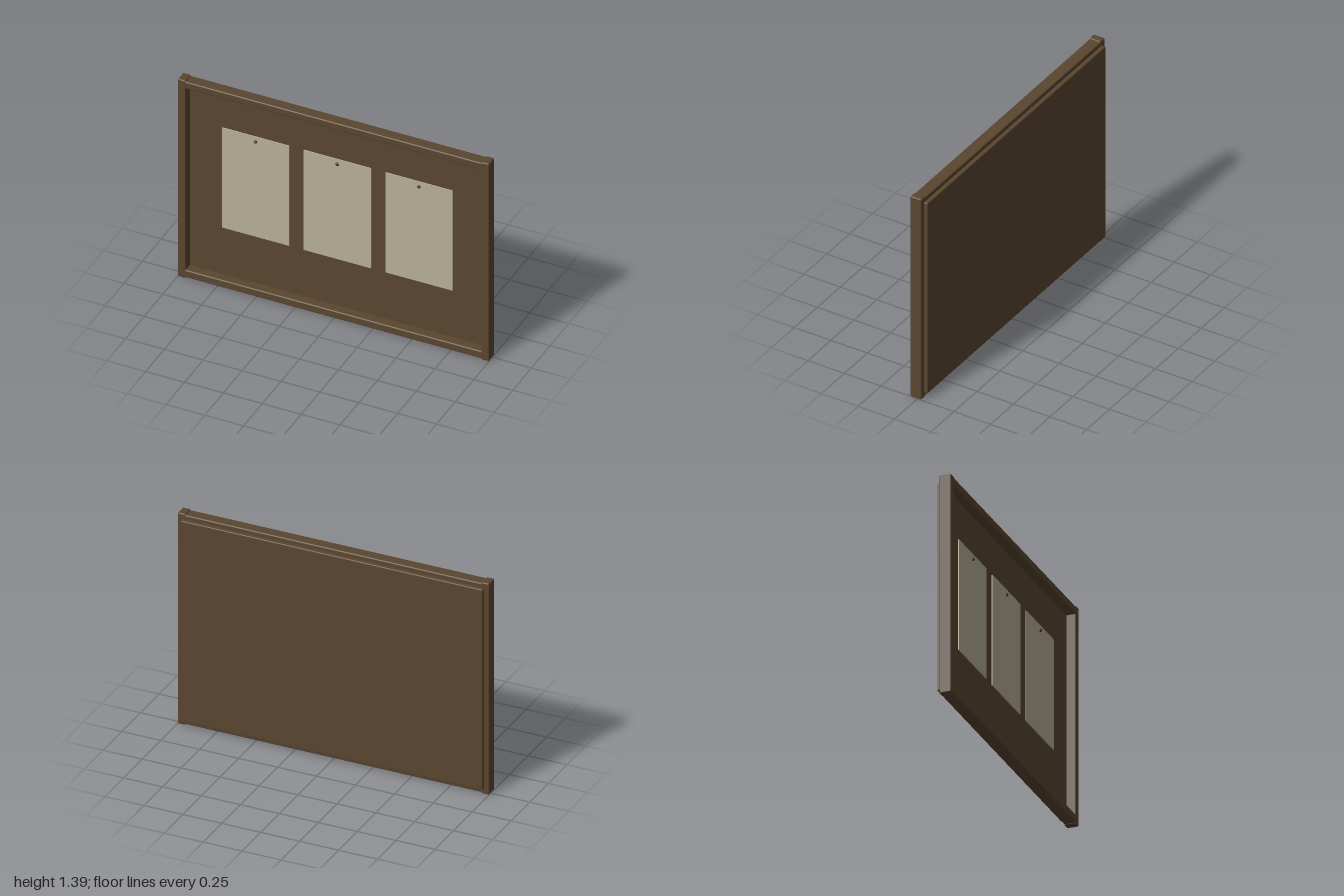
import * as THREE from 'three';
import { RoundedBoxGeometry } from 'three/addons/geometries/RoundedBoxGeometry.js';

export function createModel() {
  const group = new THREE.Group();
  group.name = 'noticeBoard';

  const wood = new THREE.MeshStandardMaterial({ color: 0x5a4630 });
  wood.name = 'dark wood';
  const paper = new THREE.MeshStandardMaterial({ color: 0xb6af97 });
  paper.name = 'aged paper';
  const metal = new THREE.MeshStandardMaterial({ color: 0x4a3824 });
  metal.name = 'dark pin';

  // Box with softened edges, given by its limits on each axis
  function bar(name, [x0, x1], [y0, y1], [z0, z1], bevel) {
    const mesh = new THREE.Mesh(
      new RoundedBoxGeometry(x1 - x0, y1 - y0, z1 - z0, 2, bevel), wood);
    mesh.position.set((x0 + x1) / 2, (y0 + y1) / 2, (z0 + z1) / 2);
    mesh.name = name;
    group.add(mesh);
  }

  // Backing board, set behind the frame
  bar('backingBoard', [-0.97, 0.97], [0.035, 1.36], [-0.05, -0.01], 0.006);

  // Frame: upright stiles stand slightly proud of the rails
  const depth = [-0.025, 0.05];
  bar('leftStile', [0.95, 1], [0, 1.395], depth, 0.008);
  bar('rightStile', [-1, -0.95], [0, 1.395], depth, 0.008);
  bar('topRail', [-0.96, 0.96], [1.34, 1.388], depth, 0.008);
  bar('bottomRail', [-0.96, 0.96], [0.007, 0.058], depth, 0.008);

  // Three sheets, each held by one domed pin
  const sheetGeometry = new THREE.BoxGeometry(0.432, 0.705, 0.006);
  const pinGeometry = new THREE.SphereGeometry(0.011, 12, 6, 0, Math.PI * 2, 0, Math.PI / 2);
  pinGeometry.rotateX(Math.PI / 2);
  for (const x of [-0.525, 0, 0.525]) {
    const sheet = new THREE.Mesh(sheetGeometry, paper);
    sheet.name = 'paperSheet';
    sheet.position.set(x, 0.742, -0.007);
    const pin = new THREE.Mesh(pinGeometry, metal);
    pin.name = 'pin';
    pin.position.set(x, 1.06, -0.004);
    group.add(sheet, pin);
  }
  return group;
}
